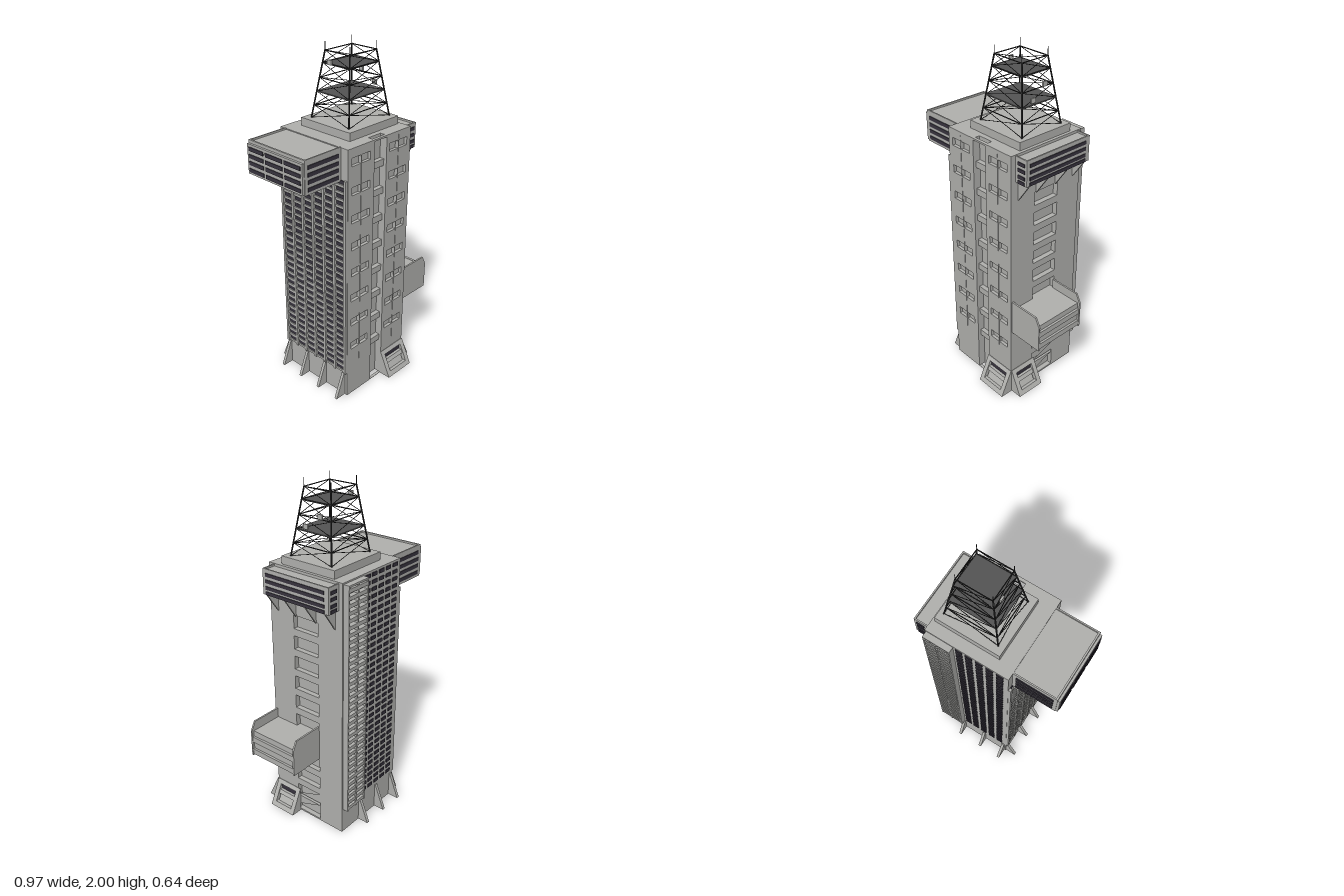
import * as THREE from 'three';
import { mergeGeometries } from 'three/addons/utils/BufferGeometryUtils.js';

export function createModel() {
  const root = new THREE.Group();
  root.name = 'tower';
  const mat = (name, color) => {
    const m = new THREE.MeshStandardMaterial({ color });
    m.name = name;
    return m;
  };
  const concrete = mat('concrete', 0xb2b2af);
  const glass = mat('darkGlass', 0x38343f);
  const steel = mat('darkSteel', 0x2b2b2b);
  const deck = mat('deckGrey', 0x555555);

  // Geometry is gathered per part and merged into one mesh
  const add = (name, material, geos) => {
    const mesh = new THREE.Mesh(
      mergeGeometries(geos.map(g => (g.index ? g.toNonIndexed() : g))), material);
    mesh.name = name;
    root.add(mesh);
  };
  const box = (x0, x1, y0, y1, z0, z1) =>
    new THREE.BoxGeometry(x1 - x0, y1 - y0, z1 - z0)
      .translate((x0 + x1) / 2, (y0 + y1) / 2, (z0 + z1) / 2);
  const shapeOf = pts => new THREE.Shape(pts.map(p => new THREE.Vector2(p[0], p[1])));
  const rect = (a, b, c, d) => [[a, c], [b, c], [b, d], [a, d]];
  const extrude = (shape, depth) =>
    new THREE.ExtrudeGeometry(shape, { depth, bevelEnabled: false });
  // Profile in (outward, up), extruded to a width, turned to face a side
  const turns = { right: Math.PI, left: 0, back: Math.PI / 2, front: -Math.PI / 2 };
  const prism = (pts, width, side, x, z) =>
    extrude(shapeOf(pts), width).translate(0, 0, -width / 2).rotateY(turns[side]).translate(x, 0, z);

  const X0 = -0.22, X1 = 0.27, Z0 = -0.25, Z1 = 0.25, H = 1.55;

  // Core, with the slabs either side of the front slot
  add('towerCore', concrete, [
    box(X0, 0.24, 0, H, Z0, 0.205),
    box(X0, -0.02, 0, H, 0.205, 0.232), box(0.075, X1, 0, H, 0.205, 0.232),
  ]);

  // Front wall: paired window openings, grooves and the central slot
  const front = shapeOf(rect(X0, X1, 0, H));
  const cut = (s, ...r) => s.holes.push(shapeOf(rect(...r)));
  cut(front, -0.02, 0.075, 0.002, 1.54);
  const ledges = [];
  for (let i = 0; i < 8; i++) {
    const y = 1.475 - i * 0.162;
    for (const x of [-0.19, -0.118, 0.1, 0.174]) cut(front, x, x + 0.066, y - 0.023, y + 0.023);
    ledges.push(box(-0.02, 0.075, y - 0.1, y - 0.062, 0.2, 0.232));
  }
  cut(front, -0.1225, -0.1195, 0.22, 1.53);
  cut(front, 0.1685, 0.1715, 0.22, 1.53);
  add('frontWall', concrete, [extrude(front, 0.018).translate(0, 0, 0.232)]);
  add('slotLedges', concrete, ledges);

  // Left wall with a column of deep niches and a doorway
  const side = shapeOf(rect(-0.205, 0.25, 0, H));
  for (let i = 0; i < 10; i++) {
    const y = 1.21 - i * 0.1225;
    cut(side, -0.085, 0.085, y, y + 0.08);
  }
  cut(side, -0.085, 0.085, 0.01, 0.16 - 0.035);
  add('leftWall', concrete, [extrude(side, 0.03).rotateY(Math.PI / 2).translate(0.24, 0, 0)]);

  // Back and right window grids, plus the balcony stack
  const panes = [], sills = [], piers = [], balconies = [], balconyGlass = [];
  const rows = 34, pitch = 0.0405;
  const backX = [-0.171, -0.11, -0.05, 0.011, 0.068];
  const rightZ = [-0.2, -0.12, -0.04, 0.04, 0.12, 0.2];
  for (let r = 0; r < rows; r++) {
    const y = 0.165 + r * pitch;
    for (const x of backX) {
      panes.push(box(x - 0.02, x + 0.02, y + 0.016, y + 0.036, Z0 - 0.005, Z0));
    }
    if (y < 1.34) for (const z of rightZ) {
      panes.push(box(X0 - 0.005, X0, y + 0.016, y + 0.036, z - 0.027, z + 0.027));
      sills.push(box(X0 - 0.01, X0, y, y + 0.014, z - 0.03, z + 0.03));
    }
    balconies.push(box(0.102, 0.262, y, y + 0.021, -0.283, Z0));
  }
  for (let i = 0; i < 7; i++) {
    const z = -0.24 + i * 0.08;
    piers.push(box(-0.235, X0, 0.16, 1.38, z - 0.008, z + 0.008));
  }
  for (const x of [0.106, 0.183, 0.258]) balconies.push(box(x - 0.004, x + 0.004, 0.16, 1.54, -0.285, Z0));
  balconies.push(box(0.102, 0.262, 1.532, 1.542, -0.285, Z0));
  balconyGlass.push(box(0.106, 0.258, 0.165, 1.535, Z0 - 0.005, Z0));
  add('gridWindows', glass, panes);
  add('windowSills', concrete, sills);
  add('wallPiers', concrete, piers);
  add('backBalconies', concrete, balconies);
  add('balconyWindows', glass, balconyGlass);

  // Sloping buttresses at the foot
  const fin = [[0, 0], [0.068, 0], [0.006, 0.155], [0, 0.155]];
  add('buttresses', concrete, [
    ...[-0.2, -0.052, 0.106].map(x => prism(fin, 0.018, 'back', x, Z0)),
    ...[-0.234, -0.08, 0.07, 0.222].map(z => prism(fin, 0.018, 'right', X0, z)),
  ]);

  // Two sloped entrance bays
  const out = y => 0.075 * (1 - y / 0.16);
  const slice = (a, b, inset = 0) => [[0, a], [out(a) - inset, a], [Math.max(out(b) - inset, 0.001), b], [0, b]];
  const bay = (dir, cx, cz, w) => {
    const at = (pts, width, off = 0) => dir === 'front'
      ? prism(pts, width, dir, cx + off, cz) : prism(pts, width, dir, cx, cz + off);
    add(dir + 'EntranceBay', concrete, [
      at(slice(0, 0.155), 0.028, -w / 2 + 0.014), at(slice(0, 0.155), 0.028, w / 2 - 0.014),
      at(slice(0, 0.028), w - 0.056), at(slice(0.13, 0.155), w - 0.056),
      at(slice(0.072, 0.095, 0.008), w - 0.056), at(slice(0.028, 0.072, 0.018), w - 0.07),
    ]);
    add(dir + 'EntranceWindow', glass, [at(rect(0, 0.006, 0.095, 0.13), w - 0.056)]);
  };
  bay('front', 0.1725, Z1, 0.2);
  bay('left', X1, 0.158, 0.176);

  // Striped windows shared by the two upper boxes
  const stripes = (ys, h, ranges) => ys.flatMap(y =>
    ranges.map(([x0, x1, z0, z1]) => box(x0, x1, y - h / 2, y + h / 2, z0, z1)));

  // Large overhanging room on the right
  add('overhangRoom', concrete, [
    box(-0.472, X0, 1.368, 1.545, -0.211, 0.203),
    box(-0.485, -0.47, 1.372, 1.538, -0.208, 0.2),
    box(-0.472, -0.462, 1.545, 1.555, -0.211, 0.203),
    box(-0.472, X0, 1.545, 1.555, -0.211, -0.203),
    box(-0.472, X0, 1.545, 1.555, 0.195, 0.203),
  ]);
  add('overhangWindows', glass, stripes([1.513, 1.473, 1.435, 1.395], 0.021, [
    [-0.452, -0.24, 0.203, 0.207], [-0.452, -0.24, -0.215, -0.211],
    [-0.489, -0.485, -0.195, -0.083], [-0.489, -0.485, -0.067, 0.058], [-0.489, -0.485, 0.074, 0.188],
  ]));

  // Crown gallery on the left with triangular brackets
  add('gallery', concrete, [
    box(X1, 0.351, 1.4, 1.535, -0.228, 0.22),
    box(0.343, 0.351, 1.535, 1.545, -0.228, 0.22),
    box(X1, 0.351, 1.535, 1.545, -0.228, -0.22), box(X1, 0.351, 1.535, 1.545, 0.212, 0.22),
  ]);
  add('galleryWindows', glass, stripes([1.513, 1.477, 1.44, 1.411], 0.019, [
    [0.351, 0.355, -0.2, 0.2], [0.29, 0.337, 0.22, 0.224], [0.29, 0.337, -0.232, -0.228],
  ]));
  add('galleryBrackets', concrete, [-0.2, -0.07, 0.07, 0.197].map(z =>
    prism([[0, 1.285], [0.08, 1.4], [0, 1.4]], 0.01, 'left', X1, z)));

  // Lower side pod: chamfered end plates, sunken roof, banded face
  const podEnd = [[0, 0.443], [0.213, 0.443], [0.213, 0.605], [0.185, 0.657], [0, 0.657]];
  add('sidePod', concrete, [
    prism(podEnd, 0.01, 'left', X1, 0.237), prism(podEnd, 0.01, 'left', X1, -0.08),
    box(X1, 0.455, 0.45, 0.6, -0.08, 0.237),
    ...[0.45, 0.487, 0.53, 0.568].map((y, i) =>
      box(0.455, i % 2 ? 0.47 : 0.48, y, y + 0.034, -0.08, 0.237)),
  ]);

  // Roof plinth
  add('roofPlinth', concrete, [box(-0.128, 0.252, H, 1.595, -0.184, 0.175)]);

  // Lattice mast
  const bar = (a, b, r) => {
    const d = new THREE.Vector3().subVectors(b, a);
    const q = new THREE.Quaternion().setFromUnitVectors(new THREE.Vector3(0, 1, 0), d.clone().normalize());
    return new THREE.CylinderGeometry(r, r, d.length(), 5).applyQuaternion(q)
      .translate((a.x + b.x) / 2, (a.y + b.y) / 2, (a.z + b.z) / 2);
  };
  const cx = 0.066, cz = -0.003;
  const signs = [[-1, -1], [1, -1], [1, 1], [-1, 1]];
  const corner = (i, y) => {
    const t = (y - 1.595) / 0.36, [sx, sz] = signs[i % 4];
    return new THREE.Vector3(cx + sx * (0.158 - 0.058 * t), y, cz + sz * (0.138 - 0.05 * t));
  };
  const levels = [1.597, 1.665, 1.74, 1.813, 1.892, 1.955];
  const legs = [], braces = [], aerials = [];
  for (let i = 0; i < 4; i++) {
    legs.push(bar(corner(i, 1.595), corner(i, 1.957), 0.0045));
    const tip = corner(i, 1.955);
    aerials.push(bar(tip, tip.clone().setY(2), 0.0018));
    levels.forEach((y, k) => {
      if (k) braces.push(bar(corner(i, y), corner(i + 1, y), 0.003));
      if (k < 5) {
        braces.push(bar(corner(i, y), corner(i + 1, levels[k + 1]), 0.0018));
        braces.push(bar(corner(i + 1, y), corner(i, levels[k + 1]), 0.0018));
      }
    });
  }
  add('mastLegs', steel, legs);
  add('mastBraces', steel, braces);
  add('mastAerials', steel, aerials);
  add('mastDecks', deck, [[1.74, 0.138, 0.121], [1.89, 0.112, 0.098]].map(([y, w, d]) =>
    box(cx - w, cx + w, y - 0.003, y + 0.003, cz - d, cz + d)));
  add('mastEquipment', concrete, [[-0.05, 1.902, -0.042], [0.194, 1.828, -0.045], [0.204, 1.765, 0.043]]
    .map(([x, y, z]) => box(x - 0.005, x + 0.005, y - 0.013, y + 0.013, z - 0.014, z + 0.014)));

  return root;
}
